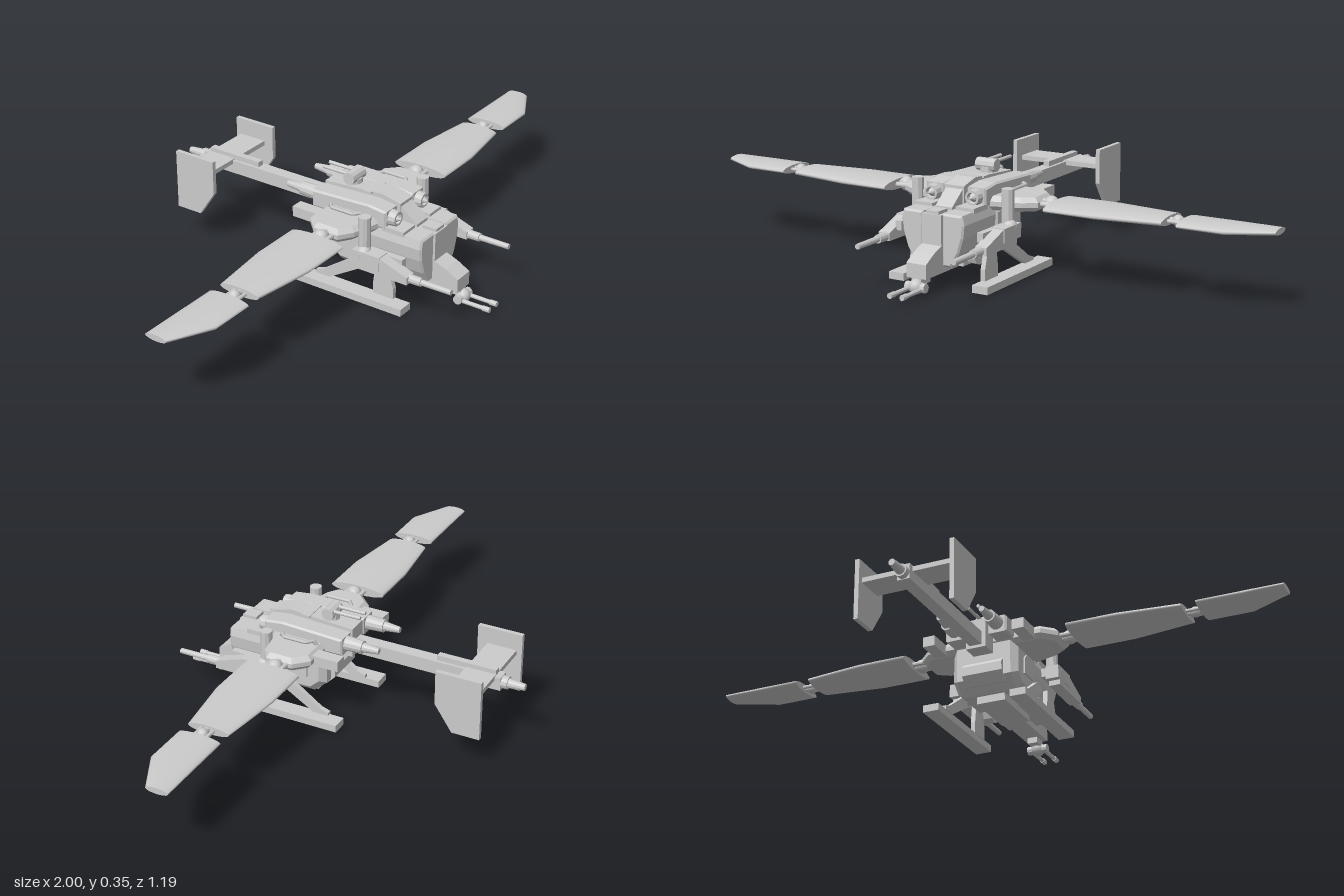
import * as THREE from 'three';

const flat = new THREE.MeshStandardMaterial({ color: 0xcccccc, flatShading: true });
const smooth = new THREE.MeshStandardMaterial({ color: 0xcccccc, side: THREE.DoubleSide });

export function createModel() {
  const model = new THREE.Group();

  const add = (name, geo, x = 0, y = 0, z = 0, mat = flat) => {
    const m = new THREE.Mesh(geo, mat);
    m.name = name;
    m.position.set(x, y, z);
    model.add(m);
    return m;
  };
  const box = (name, w, h, d, x, y, z) => add(name, new THREE.BoxGeometry(w, h, d), x, y, z);
  const shapeOf = pts => new THREE.Shape(pts.map(p => new THREE.Vector2(...p)));

  // Side profile of [z, y] points, extruded across x about a centre line
  const profile = (name, pts, width, x = 0, bevel = 0) => {
    const depth = width - 2 * bevel;
    const g = new THREE.ExtrudeGeometry(shapeOf(pts), {
      depth, bevelEnabled: bevel > 0, bevelSize: bevel, bevelOffset: -bevel, bevelThickness: bevel, bevelSegments: 1,
    });
    g.translate(0, 0, -depth / 2).rotateY(-Math.PI / 2);
    return add(name, g, x);
  };

  // Turned part along z: list of [z, radius]
  const turned = (name, pts, x, y, sides = 12) => {
    const g = new THREE.LatheGeometry(pts.map(([z, r]) => new THREE.Vector2(r, z)), sides);
    const sm = add(name, g.rotateX(Math.PI / 2), x, y, 0,
      new THREE.MeshStandardMaterial({ color: 0xcccccc, flatShading: true, side: THREE.DoubleSide }));
    return sm;
  };
  const ball = (name, r, x, y, z) => add(name, new THREE.SphereGeometry(r, 14, 10), x, y, z, smooth);
  const rod = (name, r, len, x, y, z, axis = 'x', sides = 10) => {
    const g = new THREE.CylinderGeometry(r, r, len, sides);
    if (axis === 'x') g.rotateZ(Math.PI / 2);
    if (axis === 'z') g.rotateX(Math.PI / 2);
    return add(name, g, x, y, z);
  };

  // Wing panel: lens sections [x, zBack, zFront, thickness], joined in loops
  const wingPanel = (name, sections, side) => {
    const N = 20, pos = [], idx = [];
    for (const [x, z0, z1, t] of sections) {
      for (let j = 0; j < N; j++) {
        const a = (j / N) * Math.PI * 2;
        pos.push(side * x, 0.248 + Math.sin(a) * t / 2, (z0 + z1) / 2 - Math.cos(a) * (z1 - z0) / 2);
      }
    }
    const tri = (a, b, c) => (side > 0 ? idx.push(a, b, c) : idx.push(a, c, b));
    for (let i = 0; i < sections.length - 1; i++) {
      for (let j = 0; j < N; j++) {
        const a = i * N + j, b = i * N + (j + 1) % N;
        tri(a, b, a + N);
        tri(b, b + N, a + N);
      }
    }
    // End caps on their own vertices
    [0, sections.length - 1].forEach((s, end) => {
      const base = pos.length / 3;
      for (let j = 0; j < N; j++) pos.push(...pos.slice((s * N + j) * 3, (s * N + j) * 3 + 3));
      for (let j = 1; j < N - 1; j++) end ? tri(base, base + j, base + j + 1) : tri(base, base + j + 1, base + j);
    });
    const g = new THREE.BufferGeometry();
    g.setAttribute('position', new THREE.Float32BufferAttribute(pos, 3));
    g.setIndex(idx);
    g.computeVertexNormals();
    add(name, g, 0, 0, 0, smooth);
  };

  // Central hull, nose and chin
  profile('midHull', [[0.22, 0.08], [0.09, 0.08], [0.045, 0.12], [0.045, 0.235], [0.22, 0.235]], 0.23, 0, 0.02);
  profile('rearHull', [[0.12, 0.1], [0.06, 0.1], [0.03, 0.13], [0.03, 0.16], [0.05, 0.18], [0.12, 0.2]], 0.14);
  profile('nose', [[0.4, 0.235], [0.4, 0.14], [0.44, 0.125], [0.485, 0.1], [0.485, 0.055], [0.2, 0.055], [0.2, 0.235]], 0.07);
  box('noseVisor', 0.045, 0.02, 0.05, 0, 0.235, 0.37);
  box('keel', 0.1, 0.03, 0.2, 0, 0.07, 0.2);

  // Roof spine and top shoulder plate
  profile('roofSpine', [[0.27, 0.27], [0.27, 0.3], [0.205, 0.316], [-0.015, 0.3], [-0.015, 0.2], [0.27, 0.2]], 0.07);
  profile('canopyStep', [[0.22, 0.235], [0.22, 0.29], [0.27, 0.29], [0.33, 0.245], [0.33, 0.235]], 0.06);
  const half = [[0.1, 0.045], [0.2, 0.045], [0.245, 0.09], [0.245, 0.18], [0.2, 0.21], [0.1, 0.24]];
  const plan = [...half, ...half.map(([x, z]) => [-x, z]).reverse()];
  add('shoulderPlate', new THREE.ExtrudeGeometry(shapeOf(plan), {
    depth: 0.015, bevelThickness: 0.015, bevelSize: 0.014, bevelOffset: -0.014, bevelSegments: 1,
  }).rotateX(Math.PI / 2), 0, 0.255, 0);
  box('roofVent', 0.085, 0.006, 0.03, 0, 0.31, 0.15);

  // Roof turret facing backwards
  rod('roofTurret', 0.021, 0.07, 0, 0.33, 0.075);
  rod('roofTurretBase', 0.025, 0.03, 0, 0.31, 0.075, 'y');

  // Tail boom, stabilizer and tail gun
  box('tailBoom', 0.042, 0.045, 0.52, 0, 0.232, -0.26);
  box('boomRidge', 0.022, 0.018, 0.2, 0, 0.263, -0.4);
  box('stabilizer', 0.32, 0.016, 0.1, 0, 0.25, -0.45);
  turned('tailGun', [[-0.595, 0], [-0.595, 0.011], [-0.54, 0.016], [-0.54, 0.021], [-0.51, 0.021]], 0, 0.232);

  // Chin gun mount
  ball('chinBall', 0.024, 0, 0.03, 0.485);
  rod('chinAxle', 0.015, 0.07, 0, 0.028, 0.485);
  box('chinBracket', 0.035, 0.04, 0.05, 0, 0.055, 0.46);

  for (const s of [-1, 1]) {
    // Bulging cockpit shells beside the nose
    const shell = [[0.035, 0.075], [0.065, 0.075], [0.092, 0.12], [0.108, 0.17], [0.112, 0.21], [0.105, 0.24], [0.035, 0.24]];
    const sg = new THREE.ExtrudeGeometry(shapeOf(shell.map(([x, y]) => [s * x, y])), {
      depth: 0.18, bevelThickness: 0.006, bevelSize: 0.006, bevelOffset: -0.006, bevelSegments: 1,
    });
    add('cockpitShell', sg, 0, 0, 0.21);
    box('cockpitBrow', 0.065, 0.016, 0.08, s * 0.075, 0.242, 0.29);

    // Engine housings with intake and exhaust
    profile('engineHousing', [[0.265, 0.24], [0.265, 0.3], [0.2, 0.308], [-0.015, 0.298], [-0.015, 0.24]], 0.068, s * 0.075, 0.006);
    turned('intake', [[0.25, 0.028], [0.29, 0.024], [0.29, 0.017], [0.28, 0.014], [0.302, 0]], s * 0.075, 0.272);
    turned('exhaust', [[-0.13, 0], [-0.13, 0.01], [-0.075, 0.016], [-0.075, 0.021], [-0.02, 0.024], [0, 0.024]], s * 0.075, 0.273);

    // Hull side window, round hub and roof rail
    profile('sideWindow', [[0.175, 0.137], [0.105, 0.137], [0.105, 0.19], [0.12, 0.207], [0.16, 0.207], [0.175, 0.19]], 0.012, s * 0.115);
    rod('hub', 0.031, 0.03, s * 0.085, 0.095, 0.283, 'x', 8);
    rod('hubCap', 0.012, 0.042, s * 0.085, 0.095, 0.283, 'x', 8);
    const rail = new THREE.CurvePath();
    const rp = [[0.12, 0.26, 0.2], [0.13, 0.285, 0.185], [0.15, 0.285, 0.17], [0.15, 0.285, 0.09], [0.13, 0.285, 0.075], [0.12, 0.26, 0.06]]
      .map(([x, y, z]) => new THREE.Vector3(s * x, y, z));
    for (let i = 0; i < rp.length - 1; i++) rail.add(new THREE.LineCurve3(rp[i], rp[i + 1]));
    add('roofRail', new THREE.TubeGeometry(rail, 30, 0.006, 6), 0, 0, 0, smooth);

    // Wings with their joints
    rod('wingRootAxle', 0.014, 0.06, s * 0.265, 0.248, 0.135);
    ball('wingRootJoint', 0.024, s * 0.268, 0.248, 0.135);
    for (const z of [0.11, 0.16]) rod('wingRootPin', 0.008, 0.06, s * 0.27, 0.248, z);
    wingPanel('innerWing', [[0.29, 0.037, 0.232, 0.034], [0.46, 0.037, 0.232, 0.034], [0.67, 0.062, 0.202, 0.028]], s);
    rod('wingMidAxle', 0.009, 0.06, s * 0.695, 0.248, 0.135);
    ball('wingMidJoint', 0.018, s * 0.695, 0.248, 0.135);
    for (const z of [0.115, 0.155]) rod('wingMidPin', 0.006, 0.06, s * 0.695, 0.248, z);
    wingPanel('outerWing', [[0.718, 0.06, 0.204, 0.028], [0.865, 0.06, 0.204, 0.028], [1, 0.06, 0.135, 0.02]], s);

    // Tail fins
    profile('tailFin', [[-0.366, 0.315], [-0.518, 0.315], [-0.518, 0.113], [-0.425, 0.113], [-0.366, 0.2]], 0.015, s * 0.16);

    // Side cannons below the shoulders
    rod('cannonPost', 0.02, 0.11, s * 0.165, 0.245, 0.225, 'y');
    ball('cannonPivot', 0.024, s * 0.175, 0.182, 0.23);
    box('cannonBreech', 0.045, 0.045, 0.1, s * 0.175, 0.17, 0.25);
    profile('cannonBody', [[0.22, 0.19], [0.3, 0.19], [0.4, 0.155], [0.4, 0.13], [0.22, 0.13]], 0.04, s * 0.175);
    turned('cannonBarrel', [[0.38, 0.015], [0.44, 0.014], [0.44, 0.01], [0.545, 0.009], [0.545, 0]], s * 0.172, 0.143);
    box('cannonMagazine', 0.022, 0.03, 0.16, s * 0.148, 0.172, 0.28);
    box('rearPod', 0.042, 0.035, 0.12, s * 0.158, 0.245, 0.022);

    // Twin barrels of chin gun and roof gun
    rod('chinBarrel', 0.007, 0.1, s * 0.022, 0.024, 0.54, 'z');
    rod('chinMuzzle', 0.009, 0.025, s * 0.022, 0.024, 0.583, 'z');
    rod('roofGunBarrel', 0.006, 0.11, s * 0.018, 0.338, 0.02, 'z');

    // Landing skids and struts
    box('skid', 0.055, 0.024, 0.4, s * 0.152, 0.012, 0.17);
    profile('frontStrut', [[0.315, 0.022], [0.315, 0.06], [0.295, 0.13], [0.25, 0.13], [0.24, 0.06], [0.24, 0.022]], 0.016, s * 0.13);
    profile('rearStrut', [[0.2, 0.125], [0.165, 0.125], [0.05, 0.045], [0.02, 0.035], [0.02, 0.022], [0.07, 0.022], [0.2, 0.1]], 0.016, s * 0.13);
    rod('strutCrossbar', 0.013, 0.08, s * 0.095, 0.11, 0.185);
  }

  return model;
}
